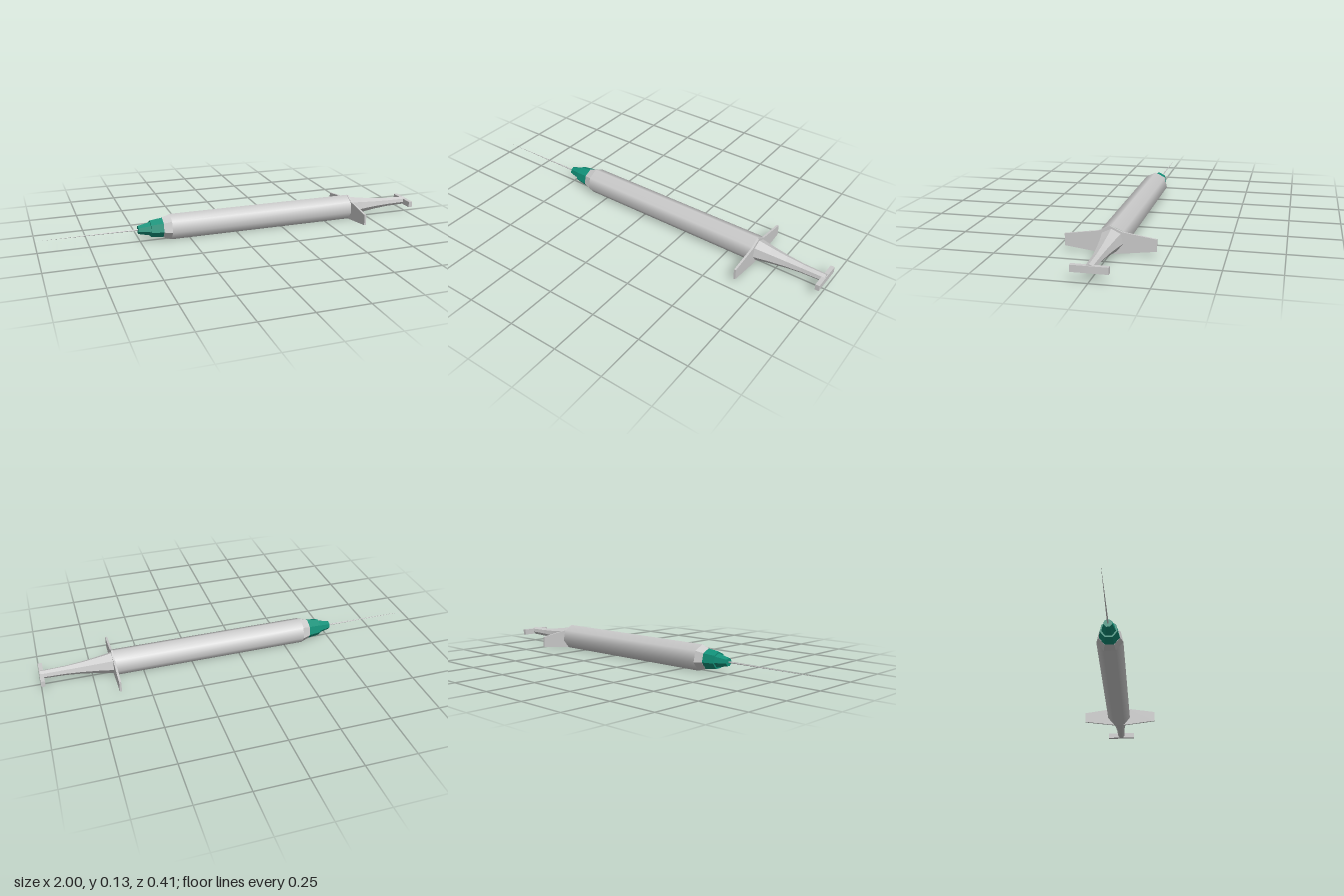
import * as THREE from 'three';

const AXIS_Y = 0.06, AXIS_Z = -0.005, SIDES = 7;

const grey = () => new THREE.MeshStandardMaterial({ color: 0xcccccc });
const flat = (color = 0xcccccc) => new THREE.MeshStandardMaterial({ color, flatShading: true });

// Seven-sided turned part along x, with one corner pointing up; profile is [x, radius].
function turned(name, profile, material) {
  const points = profile.map(([x, r]) => new THREE.Vector2(r, x));
  const geometry = new THREE.LatheGeometry(points, SIDES, -Math.PI / 2);
  geometry.rotateZ(-Math.PI / 2).translate(0, AXIS_Y, AXIS_Z);
  const mesh = new THREE.Mesh(geometry, material);
  mesh.name = name;
  return mesh;
}

export function createModel() {
  const group = new THREE.Group();
  group.name = 'syringe';

  // Smooth barrel with a faceted shoulder
  group.add(turned('barrel', [[-0.345, 0.066], [0.64, 0.066]], grey()));
  group.add(turned('barrelShoulder', [[-0.385, 0], [-0.385, 0.052], [-0.345, 0.066]], flat()));

  // Stepped coloured hub
  group.add(turned('needleHub', [
    [-0.508, 0], [-0.508, 0.021], [-0.447, 0.035], [-0.447, 0.043], [-0.385, 0.051],
  ], flat(0x109078)));

  // Needle tapering to a point
  group.add(turned('needle', [[-1, 0], [-0.5, 0.004]], grey()));

  // Finger flange: winged plate across the barrel's end
  const outline = [
    [-0.206, 0.078], [-0.206, 0.023], [-0.028, 0], [0.028, 0], [0.206, 0.023],
    [0.206, 0.078], [0.052, 0.101], [0, 0.126], [-0.052, 0.101],
  ].map(([z, y]) => new THREE.Vector2(z, y));
  const plate = new THREE.ExtrudeGeometry(new THREE.Shape(outline), { depth: 0.01, bevelEnabled: false });
  plate.rotateY(Math.PI / 2).translate(0.638, 0, 0);
  const flange = new THREE.Mesh(plate, flat());
  flange.name = 'fingerFlange';
  group.add(flange);

  // Plunger, flaring towards the barrel
  group.add(turned('plunger', [
    [0.645, 0.054], [0.72, 0.041], [0.8, 0.03], [0.88, 0.023], [0.995, 0.02], [0.995, 0],
  ], flat()));

  // Thumb rest
  const thumbRest = new THREE.Mesh(new THREE.BoxGeometry(0.02, 0.03, 0.16), flat());
  thumbRest.name = 'thumbRest';
  thumbRest.position.set(0.99, 0.058, AXIS_Z);
  group.add(thumbRest);

  return group;
}
